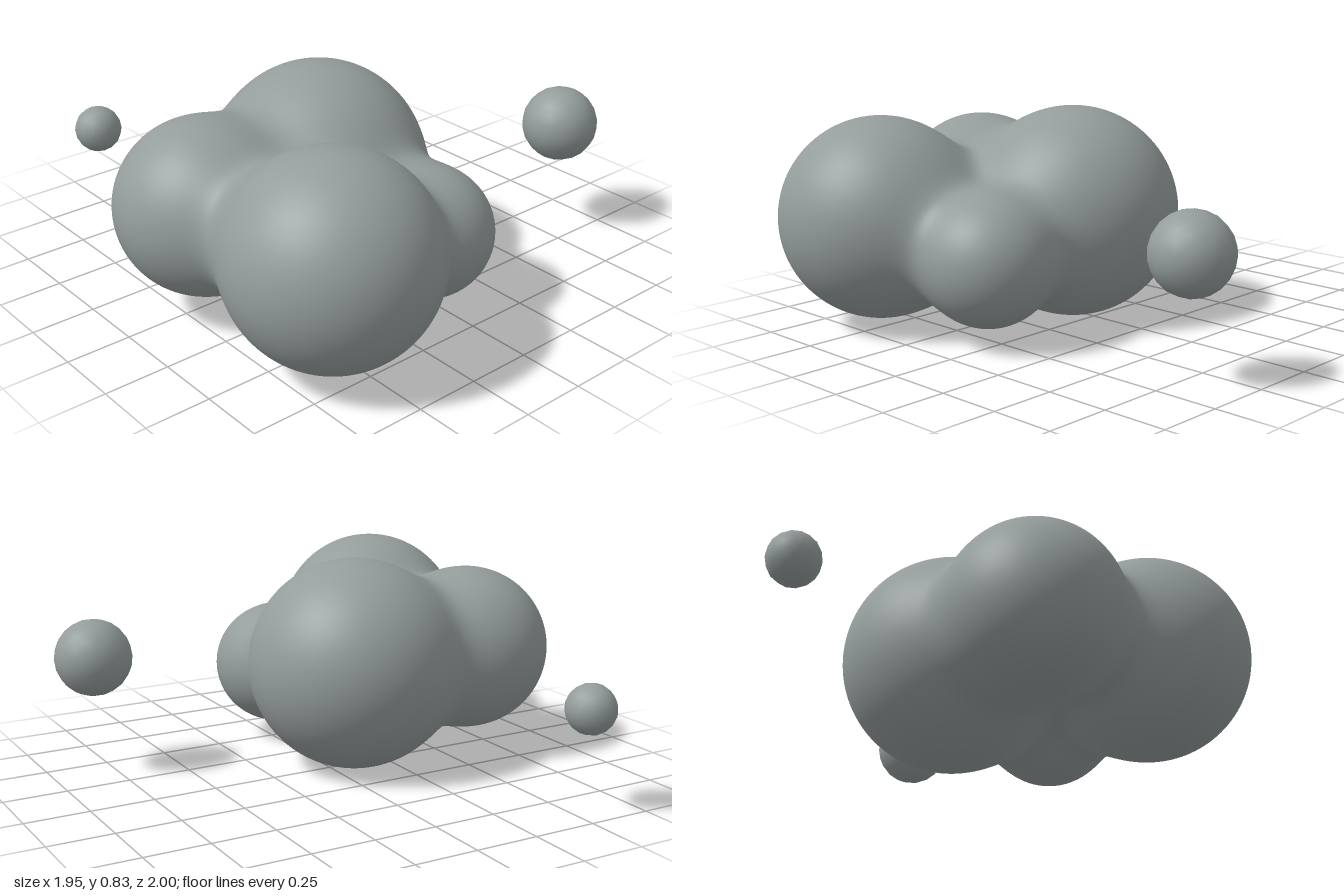
import * as THREE from 'three';

// Balls that melt together into the body: centre and radius
const BALLS = [
  { c: new THREE.Vector3(-0.11, 0.415, 0), r: 0.415 },
  { c: new THREE.Vector3(-0.55, 0.42, 0.61), r: 0.39 },
  { c: new THREE.Vector3(-0.65, 0.42, 0), r: 0.33 },
  { c: new THREE.Vector3(-0.03, 0.315, 0.53), r: 0.245 },
];
const BLEND = 0.06;
const CORE = new THREE.Vector3(-0.36, 0.4, 0.28); // sees the whole surface

// Smooth union of the balls: returns the distance and fills in the normal
function field(p, normal) {
  let sum = 0;
  const d = new THREE.Vector3();
  normal.set(0, 0, 0);
  for (const { c, r } of BALLS) {
    d.subVectors(p, c);
    const w = Math.exp((r - d.length()) / BLEND);
    sum += w;
    normal.addScaledVector(d.normalize(), w);
  }
  normal.normalize();
  return -BLEND * Math.log(sum);
}

// Shrink-wrap a fine sphere onto the smooth union, marching inwards
function blobGeometry() {
  const geometry = new THREE.IcosahedronGeometry(1, 40);
  const position = geometry.attributes.position;
  const dir = new THREE.Vector3(), p = new THREE.Vector3(), n = new THREE.Vector3();
  for (let i = 0; i < position.count; i++) {
    dir.fromBufferAttribute(position, i).normalize();
    let t = 1.3;
    for (let step = 0; step < 80; step++) {
      const d = field(p.copy(CORE).addScaledVector(dir, t), n);
      if (d < 1e-4) break;
      t -= d;
    }
    position.setXYZ(i, p.x, p.y, p.z);
    geometry.attributes.normal.setXYZ(i, n.x, n.y, n.z);
  }
  return geometry;
}

export function createModel() {
  const model = new THREE.Group();
  const grey = new THREE.MeshStandardMaterial({ color: 0x949c9c });
  grey.name = 'grey';

  const add = (name, geometry, x = 0, y = 0, z = 0) => {
    const mesh = new THREE.Mesh(geometry, grey);
    mesh.name = name;
    mesh.position.set(x, y, z);
    model.add(mesh);
  };

  add('mergedBalls', blobGeometry());
  // Loose droplets
  add('sideDroplet', new THREE.IcosahedronGeometry(0.15, 3), 0.82, 0.465, 0.405);
  add('backDroplet', new THREE.IcosahedronGeometry(0.095, 2), -0.55, 0.39, -0.905);
  return model;
}
